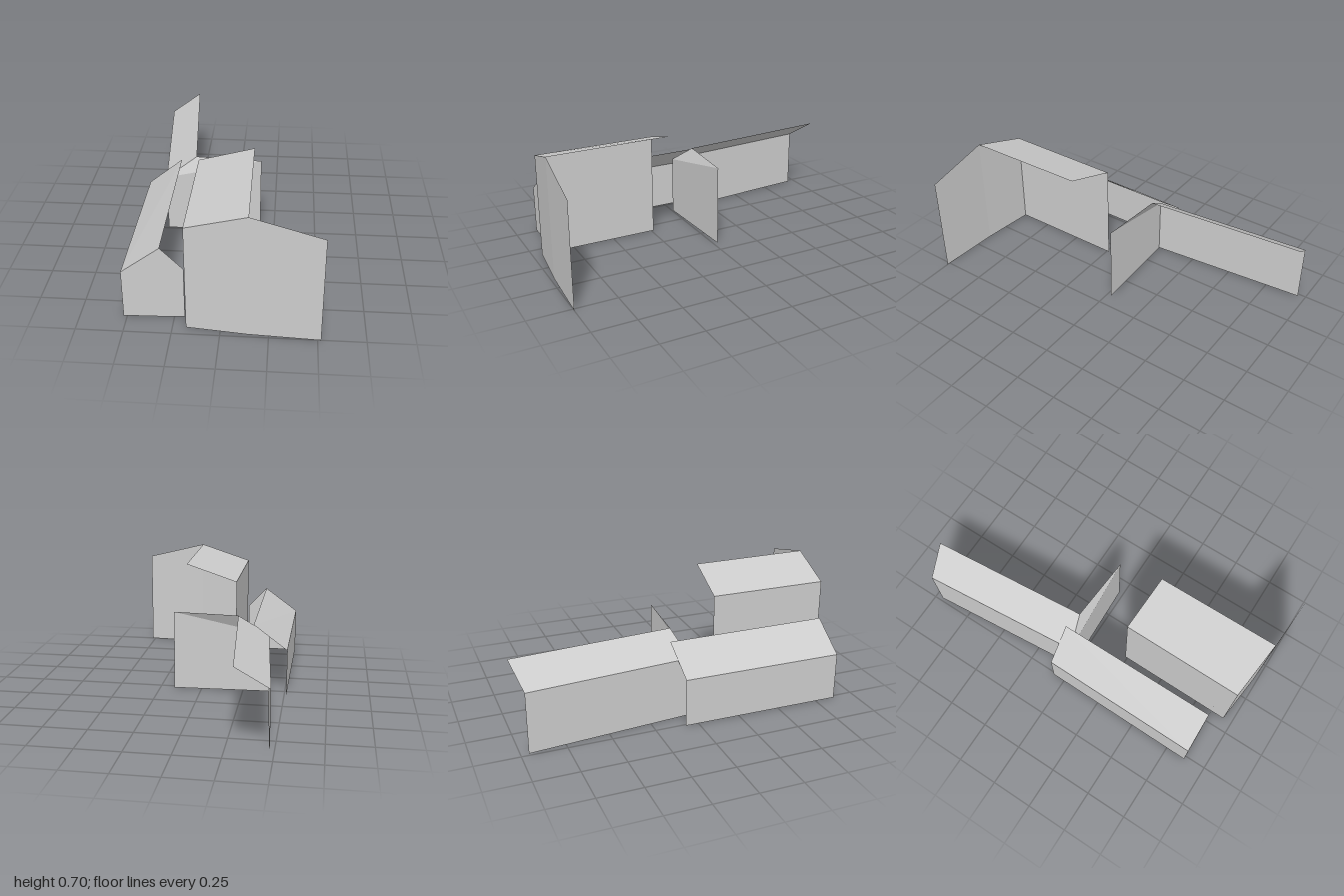
import * as THREE from 'three';

const plaster = new THREE.MeshStandardMaterial({ color: 0xcccccc, side: THREE.DoubleSide });
plaster.name = 'plain grey';

// Flat sheet from polygons, each given as counter-clockwise corners
function sheet(name, ...polygons) {
  const points = [];
  for (const p of polygons) {
    for (let i = 1; i < p.length - 1; i++) points.push(...p[0], ...p[i], ...p[i + 1]);
  }
  const geometry = new THREE.BufferGeometry();
  geometry.setAttribute('position', new THREE.Float32BufferAttribute(points, 3));
  geometry.computeVertexNormals();
  const mesh = new THREE.Mesh(geometry, plaster);
  mesh.name = name;
  return mesh;
}

const ground = ([x, , z]) => [x, 0, z];

// Open house shell: one side wall, one roof slope and a front gable
function house(name, { eave, ridge, corner, eaveBack, ridgeBack, split }) {
  const group = new THREE.Group();
  group.name = name;
  group.add(sheet('sideWall', [ground(eaveBack), ground(eave), eave, eaveBack]));
  group.add(sheet('roofSlope', [eave, ridge, ridgeBack, eaveBack]));
  if (split) {
    // upright lower wall with the upper part leaning back to the ridge
    const mid = [corner[0], eave[1], corner[2]];
    group.add(sheet('frontGable',
      [ground(eave), ground(corner), mid, eave],
      [eave, mid, corner, ridge]));
  } else {
    // gable folded slightly below the ridge
    group.add(sheet('frontGable',
      [ground(eave), ground(ridge), ridge, eave],
      [ground(ridge), ground(corner), corner, ridge]));
  }
  return group;
}

export function createModel() {
  const model = new THREE.Group();
  model.name = 'houseShells';
  model.add(house('tallHouse', {
    eave: [-0.18, 0.608, 0.945], ridge: [0.143, 0.705, 0.98], corner: [0.518, 0.608, 1],
    eaveBack: [-0.176, 0.608, 0.236], ridgeBack: [0.137, 0.705, 0.262],
  }));
  model.add(house('lowHouse', {
    eave: [-0.52, 0.28, 0.872], ridge: [-0.314, 0.432, 0.866], corner: [-0.195, 0.305, 0.86],
    eaveBack: [-0.512, 0.28, -0.075], ridgeBack: [-0.316, 0.432, -0.092],
  }));
  model.add(house('rearHouse', {
    eave: [-0.4, 0.354, -0.007], ridge: [-0.222, 0.474, -0.057], corner: [0.165, 0.474, -0.027],
    eaveBack: [-0.482, 0.354, -0.956], ridgeBack: [-0.302, 0.474, -1], split: true,
  }));
  return model;
}
